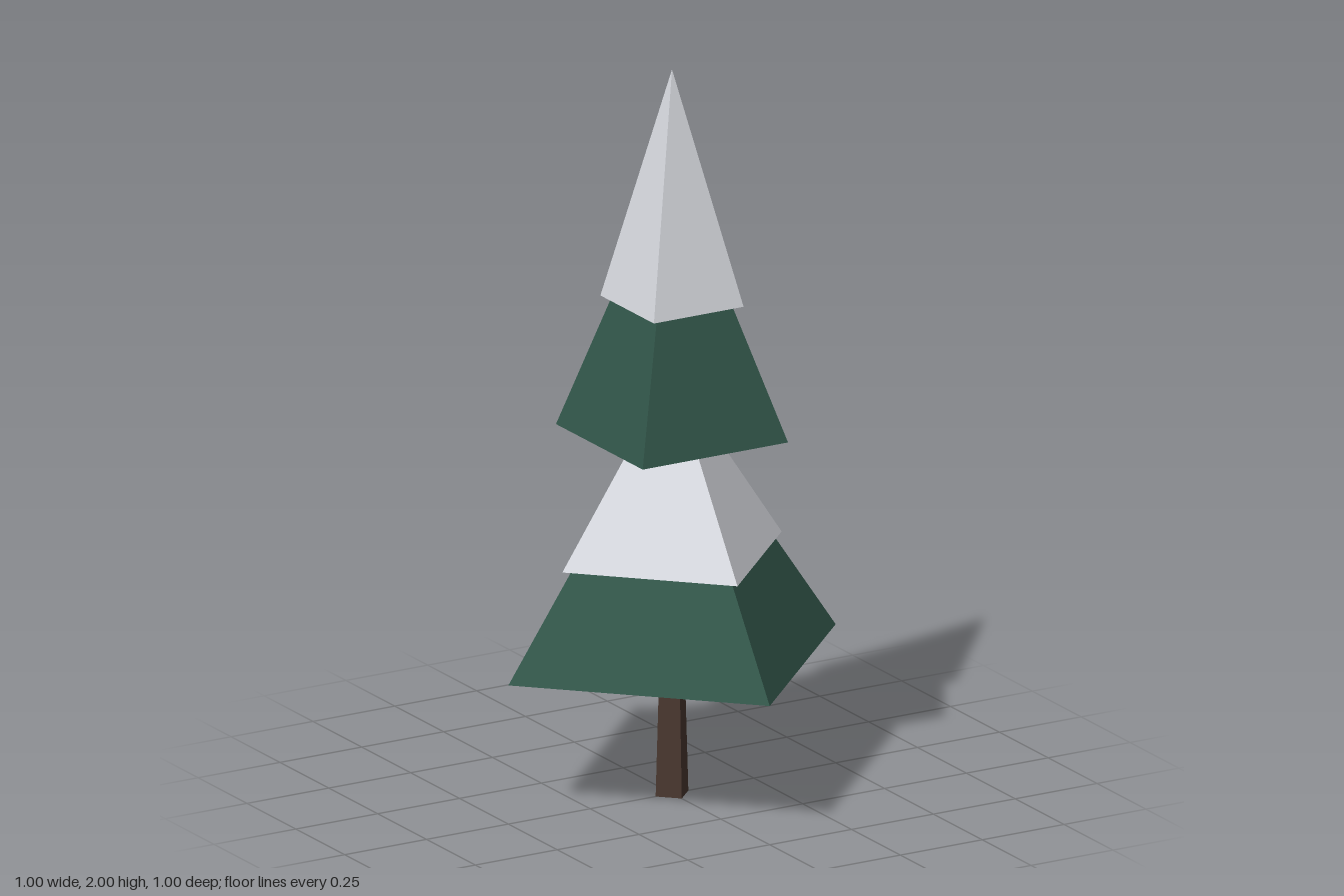
import * as THREE from 'three';

const material = (name, color) => {
  const m = new THREE.MeshStandardMaterial({ color, flatShading: true });
  m.name = name;
  return m;
};

export function createModel() {
  const tree = new THREE.Group();
  tree.name = 'snowyTree';
  const bark = material('barkBrown', 0x4a3830);
  const needles = material('needleGreen', 0x32564a);
  const snow = material('snowWhite', 0xd9dbe1);

  // Four-sided tapered block between two heights; r is the corner radius
  const addBlock = (name, mat, y0, y1, r0, r1, turn = 0) => {
    const geo = r1 > 0
      ? new THREE.CylinderGeometry(r1, r0, y1 - y0, 4)
      : new THREE.ConeGeometry(r0, y1 - y0, 4);
    geo.rotateY(turn);
    geo.translate(0, (y0 + y1) / 2, 0);
    const mesh = new THREE.Mesh(geo, mat);
    mesh.name = name;
    tree.add(mesh);
  };

  // Trunk and lower tier stand corner-on to the front
  addBlock('trunk', bark, 0, 0.5, 0.05, 0.034);
  addBlock('lowerBranches', needles, 0.383, 0.8, 0.5, 0.215);
  addBlock('lowerSnow', snow, 0.667, 1.167, 0.335, 0);

  // Upper tier is turned by an eighth, so its flat sides face the axes
  const eighth = Math.PI / 4;
  addBlock('upperBranches', needles, 0.995, 1.5, 0.222 * Math.SQRT2, 0.074 * Math.SQRT2, eighth);
  addBlock('upperSnow', snow, 1.36, 2, 0.137 * Math.SQRT2, 0, eighth);

  return tree;
}
